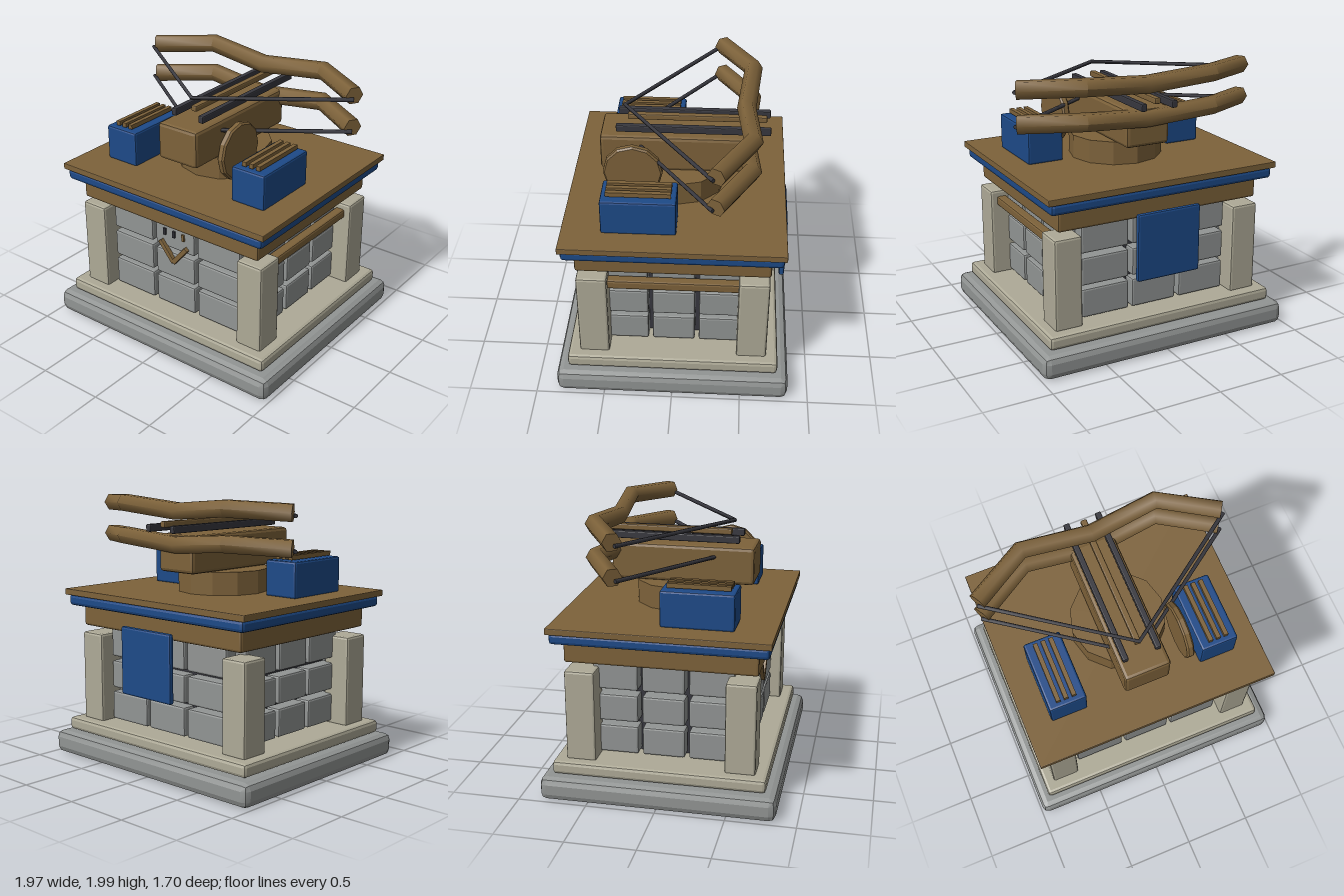
import * as THREE from 'three';
import { toCreasedNormals } from 'three/addons/utils/BufferGeometryUtils.js';
import { RoundedBoxGeometry } from 'three/addons/geometries/RoundedBoxGeometry.js';

const mat = (name, color) => Object.assign(new THREE.MeshStandardMaterial({ color }), { name });
const V = (x, y, z) => new THREE.Vector3(x, y, z);

// Sweep a six-sided section along a polyline with mitred joints and closed ends
function sweep(points, radius, sides = 6) {
  const last = points.length - 1, pos = [], index = [];
  const path = [points[0], ...points, points[last]];
  path.forEach((p, i) => {
    const k = Math.min(Math.max(i - 1, 0), last);
    const t = points[Math.min(k + 1, last)].clone().sub(points[Math.max(k - 1, 0)]).normalize();
    const side = t.clone().cross(V(0, 1, 0)).normalize();
    const up = side.clone().cross(t);
    const r = i === 0 || i === path.length - 1 ? 0 : radius;
    for (let j = 0; j < sides; j++) {
      const a = (j / sides) * Math.PI * 2;
      const q = p.clone().addScaledVector(side, r * Math.cos(a)).addScaledVector(up, r * Math.sin(a));
      pos.push(q.x, q.y, q.z);
      if (i < path.length - 1) {
        const a0 = i * sides + j, a1 = i * sides + (j + 1) % sides;
        index.push(a0, a0 + sides, a1, a1, a0 + sides, a1 + sides);
      }
    }
  });
  const g = new THREE.BufferGeometry();
  g.setAttribute('position', new THREE.Float32BufferAttribute(pos, 3));
  g.setIndex(index);
  return toCreasedNormals(g, 1.15);
}

export function createModel() {
  const model = new THREE.Group();
  model.name = 'ballistaTower';
  const stone = mat('stone grey', 0x929594);
  const pale = mat('pale stone', 0xaeaa97);
  const wood = mat('wood brown', 0x7d623a);
  const blue = mat('cloth blue', 0x1d4a88);
  const dark = mat('dark iron', 0x38383f);

  const add = (name, geo, m, parent = model) => {
    const mesh = new THREE.Mesh(geo, m);
    mesh.name = name;
    parent.add(mesh);
    return mesh;
  };
  // Box given by its minimum and maximum corners, with faceted bevels
  const box = (name, m, [x0, y0, z0], [x1, y1, z1], r = 0.012, parent = model) => {
    const w = x1 - x0, h = y1 - y0, d = z1 - z0;
    const geo = r
      ? toCreasedNormals(new RoundedBoxGeometry(w, h, d, 1, r), 0.3)
      : new THREE.BoxGeometry(w, h, d);
    const mesh = add(name, geo, m, parent);
    mesh.position.set((x0 + x1) / 2, (y0 + y1) / 2, (z0 + z1) / 2);
    return mesh;
  };
  const group = (name) => {
    const g = new THREE.Group();
    g.name = name;
    model.add(g);
    return g;
  };

  // Stepped foundation
  box('foundation', stone, [-0.985, 0.005, -0.85], [0.985, 0.178, 0.85], 0.05);
  box('plinth', pale, [-0.905, 0.185, -0.77], [0.905, 0.282, 0.77], 0.025);

  // Dark core carrying block walls on all four sides
  box('wallCore', dark, [-0.57, 0.27, -0.51], [0.57, 1.012, 0.51], 0);
  const walls = group('stoneBlocks');
  const rows = [[0.295, 0.512], [0.54, 0.75], [0.783, 0.999]];
  const columns = (half, gap) => {
    const inner = half / 3;
    return [[-half, -inner - gap], [-inner + gap, inner - gap], [inner + gap, half]];
  };
  for (const [y0, y1] of rows) {
    for (const s of [-1, 1]) {
      for (const [a, b] of columns(0.585, 0.015))
        box('endBlock', stone, [a, y0, s * 0.55 - 0.055], [b, y1, s * 0.55 + 0.055], 0.015, walls);
      for (const [a, b] of columns(0.51, 0.015))
        box('sideBlock', stone, [s * 0.625 - 0.06, y0, a], [s * 0.625 + 0.06, y1 - 0.006, b], 0.015, walls);
    }
  }

  // Corner pillars and the rail along the left side
  for (const sx of [-1, 1])
    for (const sz of [-1, 1]) {
      const x = sx * 0.72, z = sz * 0.575;
      box('cornerPillar', pale, [x - 0.105, 0.27, z - 0.11], [x + 0.105, 0.953, z + 0.11], 0.018);
    }
  box('sideRail', wood, [0.698, 0.836, -0.5], [0.774, 0.906, 0.5], 0.015);

  // Layered platform
  box('lintel', wood, [-0.797, 1.006, -0.69], [0.797, 1.168, 0.69], 0.018);
  box('platformTrim', blue, [-0.88, 1.16, -0.77], [0.88, 1.245, 0.77], 0.025);
  box('platformDeck', wood, [-0.905, 1.24, -0.785], [0.905, 1.286, 0.785], 0.005);

  // Banner on the back
  box('backBanner', blue, [-0.25, 0.58, -0.812], [0.25, 1.08, -0.772], 0.015);

  // Arrow ornament on the front wall
  const ornament = group('frontOrnament');
  for (const s of [-1, 1]) {
    const arm = box('chevronArm', wood, [-0.018, -0.097, -0.018], [0.018, 0.097, 0.018], 0.005, ornament);
    arm.position.set(s * 0.06, 0.757, 0.615);
    arm.rotation.z = -s * 0.69;
  }
  [dark, dark, wood].forEach((m, i) => {
    const x = (i - 1) * 0.086;
    box('peg', m, [x - 0.01, 0.885, 0.595], [x + 0.01, 0.937, 0.62], 0, ornament);
  });

  // Turntable and weapon body
  const turntable = add('turntable', toCreasedNormals(
    new THREE.CylinderGeometry(0.345, 0.345, 0.172, 12), 0.3), wood);
  turntable.position.y = 1.37;
  box('weaponBody', wood, [-0.17, 1.455, -0.5], [0.17, 1.73, 0.555], 0.025);

  // Winch wheel, slightly chamfered
  const rim = [[0, -0.028], [0.198, -0.028], [0.21, -0.016], [0.21, 0.016], [0.198, 0.028], [0, 0.028]];
  const wheel = add('winchWheel', toCreasedNormals(
    new THREE.LatheGeometry(rim.map(([x, y]) => new THREE.Vector2(x, y)), 12), 0.3), wood);
  wheel.rotation.z = Math.PI / 2;
  wheel.position.set(0.345, 1.565, 0.305);

  // Guide rails and the bolt between them
  for (const s of [-1, 1])
    box('guideRail', dark, [s * 0.12 - 0.021, 1.753, -0.655], [s * 0.12 + 0.021, 1.807, 0.44], 0.008);
  box('bolt', wood, [-0.023, 1.787, -0.627], [0.023, 1.831, 0.365], 0.009);

  // Two stacked bows, each with a drawn string
  for (const dy of [0, -0.24]) {
    const bow = group(dy ? 'lowerBow' : 'upperBow');
    bow.position.y = dy;
    const limb = [V(-0.902, 1.917, -0.29), V(-0.5, 1.939, -0.525), V(0, 1.896, -0.478),
      V(0.5, 1.939, -0.525), V(0.902, 1.917, -0.29)];
    add('bowLimbs', sweep(limb, 0.068), wood, bow);
    const string = [V(-0.91, 1.895, -0.27), V(0, 1.895, 0.383), V(0.91, 1.895, -0.27)];
    add('bowString', sweep(string, 0.015), dark, bow);
  }

  // Ammunition crates with slats on top
  for (const s of [-1, 1]) {
    const crate = group(s > 0 ? 'leftCrate' : 'rightCrate');
    const x = s * 0.573;
    box('crateBox', blue, [x - 0.137, 1.283, -0.02], [x + 0.137, 1.547, 0.505], 0.015, crate);
    for (const i of [-1, 0, 1]) {
      const c = x + i * 0.058;
      box('slat', wood, [c - 0.016, 1.553, 0.018], [c + 0.016, 1.586, 0.468], 0, crate);
    }
  }
  return model;
}
